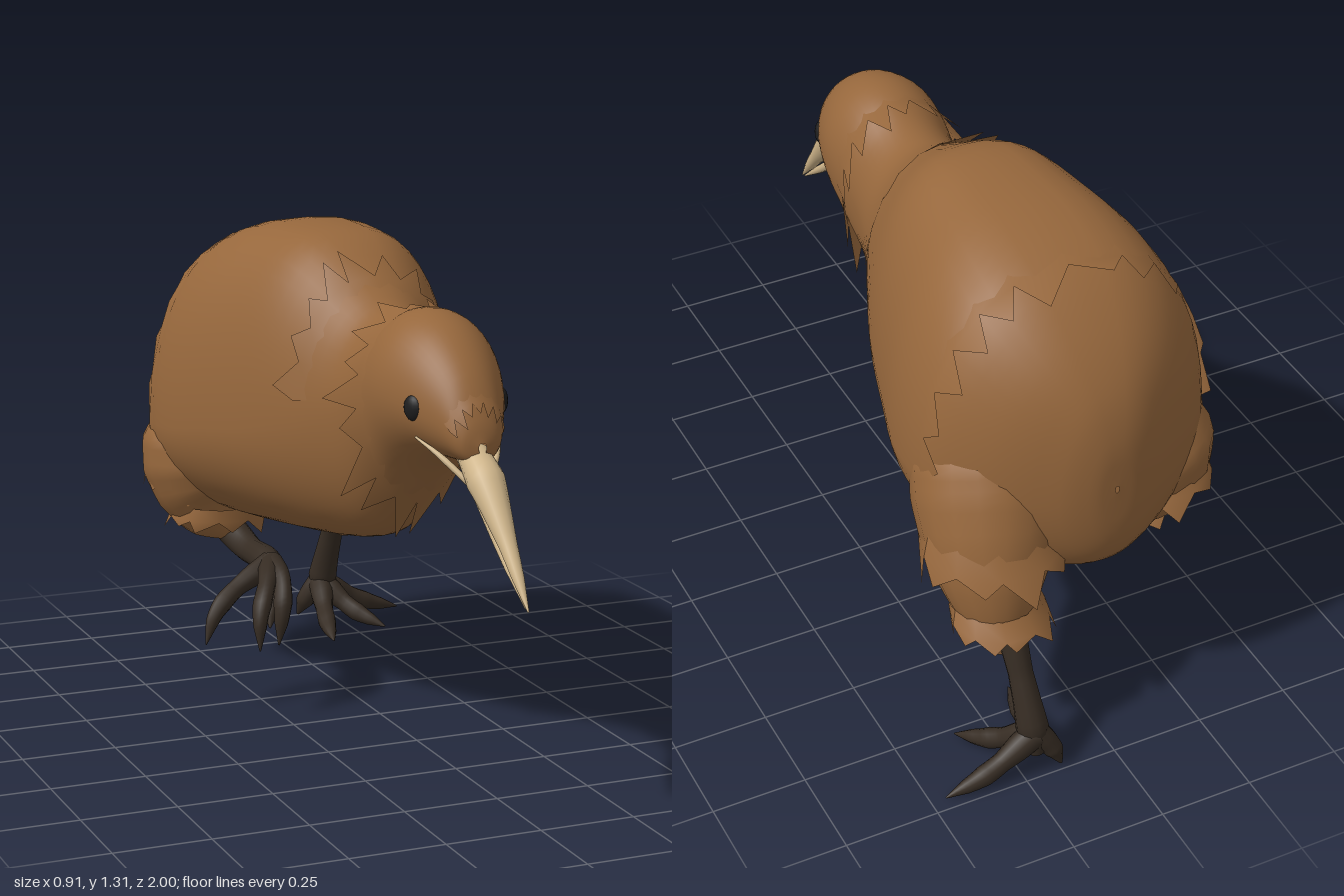
import * as THREE from 'three';
import { mergeVertices } from 'three/addons/utils/BufferGeometryUtils.js';

const CX = -0.04; // body centre line
// body cross-sections from face to tail: z, top, widest height, bottom, half width
const ROWS = [
  [0.735, 0.91, 0.9, 0.875, 0.01], [0.72, 0.965, 0.91, 0.855, 0.052], [0.66, 1.07, 0.95, 0.85, 0.09],
  [0.56, 1.155, 0.98, 0.84, 0.137], [0.46, 1.19, 0.99, 0.79, 0.165], [0.37, 1.185, 0.97, 0.71, 0.165],
  [0.28, 1.15, 0.93, 0.63, 0.158], [0.18, 1.145, 0.88, 0.56, 0.175], [0.06, 1.21, 0.84, 0.52, 0.228],
  [-0.1, 1.3, 0.8, 0.495, 0.295], [-0.28, 1.312, 0.77, 0.475, 0.35], [-0.46, 1.3, 0.74, 0.46, 0.395],
  [-0.62, 1.25, 0.73, 0.45, 0.388], [-0.75, 1.15, 0.73, 0.46, 0.295], [-0.84, 1.03, 0.74, 0.51, 0.165],
  [-0.88, 0.91, 0.76, 0.6, 0.075], [-0.888, 0.78, 0.77, 0.76, 0.005],
];
const curveOf = (a, b) => new THREE.CatmullRomCurve3(ROWS.map(r => new THREE.Vector3(r[0], r[a], r[b])));
const outline = curveOf(1, 3), girth = curveOf(2, 4);

// the back is broader shouldered than the round head
function bodyPoint(u, a, off = 0) {
  const o = outline.getPoint(u), g = girth.getPoint(u), s = Math.sin(a), c = Math.cos(a);
  const h = s > 0 ? o.y - g.y : g.y - o.z;
  const broad = 1 - (s > 0 ? 0.26 : 0.1) * THREE.MathUtils.smoothstep(-o.x, -0.2, 0.15);
  const w = Math.sign(c) * Math.pow(Math.abs(c), broad);
  return new THREE.Vector3(CX + (Math.max(g.z, 0.004) + off) * w, g.y + (h + off) * s, o.x);
}
function uAtZ(z) {
  let lo = 0, hi = 1;
  for (let i = 0; i < 30; i++) {
    const m = (lo + hi) / 2;
    if (outline.getPoint(m).x > z) lo = m; else hi = m;
  }
  return lo;
}
function seeded(seed) {
  return () => (seed = (seed * 16807) % 2147483647) / 2147483647;
}
function geometryFrom(points, index) {
  const g = new THREE.BufferGeometry().setFromPoints(points);
  g.setIndex(index);
  g.computeVertexNormals();
  return g;
}
function bodyGeometry() {
  const N = 64, M = 48, pts = [], idx = [];
  for (let i = 0; i <= N; i++)
    for (let j = 0; j < M; j++) pts.push(bodyPoint(i / N, (j / M) * Math.PI * 2));
  for (let i = 0; i < N; i++)
    for (let j = 0; j < M; j++) {
      const k = (j + 1) % M, a = i * M, b = a + M;
      idx.push(a + j, b + j, a + k, a + k, b + j, b + k);
    }
  return geometryFrom(pts, idx);
}
// band with a jagged edge over an arc in degrees; at(v, angle, random) gives
// its surface, v = 0 root, 1 edge, 2 tip
function fringe(count, arc, at, seed) {
  const rnd = seeded(seed), pts = [], idx = [];
  const [from, to] = arc.map(THREE.MathUtils.degToRad), step = (to - from) / count;
  for (let i = 0; i <= count; i++) {
    const a = from + i * step, p = i * 3;
    pts.push(at(0, a, 0), at(1, a, 0), at(2, a + step * (0.2 + 0.6 * rnd()), 0.4 + 0.6 * rnd()));
    if (i < count) idx.push(p, p + 1, p + 3, p + 3, p + 1, p + 4, p + 1, p + 2, p + 4);
  }
  return geometryFrom(pts, idx);
}
function bodyFringe(count, arc, z0, z1, length, flare, seed) {
  return fringe(count, arc, (v, a, r) => v === 0 ? bodyPoint(uAtZ(z0), a, -0.004)
    : v === 1 ? bodyPoint(uAtZ(z1), a, 0.007)
      : bodyPoint(uAtZ(z1 + length * r), a, flare * r), seed);
}
// smooth tube whose radius follows a list
function limb(points, radii, sides = 12, segs = 20) {
  const path = new THREE.CatmullRomCurve3(points.map(p => new THREE.Vector3(...p)));
  const g = new THREE.TubeGeometry(path, segs, 1, sides), pos = g.attributes.position, v = new THREE.Vector3();
  for (let i = 0; i <= segs; i++) {
    const c = path.getPointAt(i / segs), f = (i / segs) * (radii.length - 1);
    const k = Math.min(Math.floor(f), radii.length - 2);
    const r = THREE.MathUtils.lerp(radii[k], radii[k + 1], f - k);
    for (let j = 0; j <= sides; j++) {
      const n = i * (sides + 1) + j;
      v.fromBufferAttribute(pos, n).sub(c).multiplyScalar(r).add(c);
      pos.setXYZ(n, v.x, v.y, v.z);
    }
  }
  g.deleteAttribute('uv');
  g.deleteAttribute('normal');
  const out = mergeVertices(g, 1e-5);
  out.computeVertexNormals();
  return out;
}

export function createModel() {
  const group = new THREE.Group();
  const material = (name, color, side = THREE.FrontSide) => {
    const m = new THREE.MeshStandardMaterial({ color, side });
    m.name = name;
    return m;
  };
  const plumage = material('brown plumage', 0x96673c, THREE.DoubleSide);
  const skin = material('dark leg skin', 0x362c23);
  const horn = material('pale bill', 0xd0b68b);
  const black = material('eye black', 0x1d1d1e);
  const add = (name, geometry, mat) => {
    const m = new THREE.Mesh(geometry, mat);
    m.name = name;
    group.add(m);
    return m;
  };

  // body, neck and head in one skin, with overlapping feather edges
  add('body', bodyGeometry(), plumage);
  add('headCollar', bodyFringe(17, [-90, 270], 0.42, 0.34, -0.13, 0.06, 11), plumage);
  add('mantleFringe', bodyFringe(10, [10, 170], 0.12, 0.06, -0.08, 0.025, 23), plumage);
  add('rumpFringe', bodyFringe(14, [-15, 195], -0.53, -0.61, -0.1, 0.035, 51), plumage);
  add('faceFringe', bodyFringe(7, [10, 170], 0.66, 0.705, 0.025, 0.02, 71), plumage);

  // bill, with a narrow gape between the halves
  add('upperBill', limb([[CX, 0.87, 0.68], [CX, 0.82, 0.755], [CX, 0.7, 0.875], [CX, 0.555, 1]],
    [0.04, 0.048, 0.035, 0.023, 0.015, 0.002], 14), horn);
  add('lowerBill', limb([[CX, 0.87, 0.6], [CX, 0.79, 0.705], [CX, 0.685, 0.83], [CX, 0.56, 0.985]],
    [0.018, 0.018, 0.015, 0.011, 0.002]), horn);

  // eyes, and the pale gape line along each cheek
  for (const s of [-1, 1]) {
    const side = s > 0 ? 'left' : 'right';
    const eye = add(side + 'Eye', new THREE.SphereGeometry(1, 16, 12), black);
    eye.scale.set(0.017, 0.033, 0.028);
    eye.position.set(CX + s * 0.118, 0.978, 0.586);
    eye.rotation.y = -s * 0.45;
    add(side + 'Gape', limb([[CX + s * 0.112, 0.905, 0.585], [CX + s * 0.08, 0.872, 0.65], [CX + s * 0.02, 0.8, 0.73]],
      [0.003, 0.008, 0.008], 8, 10), horn);
  }

  // thighs and their ragged feathers
  add('leftThigh', limb([[0.13, 0.9, -0.5], [0.18, 0.67, -0.63], [0.22, 0.5, -0.735], [0.23, 0.39, -0.79], [0.23, 0.305, -0.83]],
    [0.02, 0.16, 0.195, 0.195, 0.175, 0.14, 0.095, 0.03], 18, 24), plumage);
  add('rightThigh', limb([[-0.25, 0.82, -0.6], [-0.27, 0.64, -0.6], [-0.26, 0.5, -0.57], [-0.22, 0.4, -0.5]],
    [0.02, 0.14, 0.185, 0.185, 0.155, 0.095, 0.01], 18, 24), plumage);
  const thighFringe = (name, c, r, drop, seed) => add(name, fringe(10, [0, 360], (v, a, t) => {
    const k = v === 0 ? 0.85 : v === 1 ? 0.98 : 0.9 + 0.15 * t, d = v === 0 ? 0 : v === 1 ? 0.4 : 0.4 + 0.6 * t;
    return new THREE.Vector3(c[0] + r * k * Math.cos(a), c[1] - drop * d, c[2] + r * k * Math.sin(a) - 0.05 * d);
  }, seed), plumage);
  thighFringe('leftThighUpperFringe', [0.205, 0.64, -0.68], 0.19, 0.17, 5);
  thighFringe('leftThighLowerFringe', [0.225, 0.44, -0.765], 0.13, 0.1, 17);
  thighFringe('rightThighUpperFringe', [-0.27, 0.64, -0.6], 0.18, 0.15, 29);
  thighFringe('rightThighLowerFringe', [-0.255, 0.5, -0.55], 0.14, 0.09, 61);

  // standing left leg
  add('leftShank', limb([[0.225, 0.42, -0.83], [0.22, 0.3, -0.885], [0.212, 0.16, -0.94], [0.205, 0.06, -0.965]],
    [0.04, 0.036, 0.032, 0.036, 0.042, 0.02]), skin);
  const toeRadii = [0.036, 0.034, 0.026, 0.027, 0.018, 0.002];
  const leftTips = [[0.14, 0.012, -0.68], [0.34, 0.01, -0.77], [0.46, 0.01, -0.965]];
  leftTips.forEach((tip, i) => {
    const mid = [0.2 + (tip[0] - 0.2) * 0.55, 0.045, -0.965 + (tip[2] + 0.965) * 0.55];
    add('leftToe' + (i + 1), limb([[0.205, 0.12, -0.955], mid, tip], toeRadii, 10), skin);
  });
  add('leftHindToe', limb([[0.21, 0.13, -0.95], [0.165, 0.065, -0.968], [0.145, 0.015, -0.985]],
    [0.035, 0.032, 0.026, 0.004], 10), skin);

  // lifted right leg
  add('rightShank', limb([[-0.23, 0.43, -0.58], [-0.21, 0.385, -0.45], [-0.205, 0.38, -0.33], [-0.21, 0.375, -0.23]],
    [0.045, 0.042, 0.036, 0.04, 0.03]), skin);
  const rightToes = [
    [[-0.33, 0.325, -0.24], [-0.39, 0.27, -0.22], [-0.425, 0.195, -0.2]],
    [[-0.265, 0.35, -0.16], [-0.3, 0.29, -0.11], [-0.312, 0.195, -0.085]],
    [[-0.215, 0.355, -0.17], [-0.23, 0.29, -0.13], [-0.245, 0.195, -0.12]],
    [[-0.2, 0.33, -0.27], [-0.22, 0.28, -0.24], [-0.24, 0.22, -0.2]],
  ];
  rightToes.forEach((pts, i) =>
    add('rightToe' + (i + 1), limb([[-0.21, 0.385, -0.27], ...pts],
      [0.034, 0.031, 0.024, 0.026, 0.018, 0.002], 10), skin));

  return group;
}
